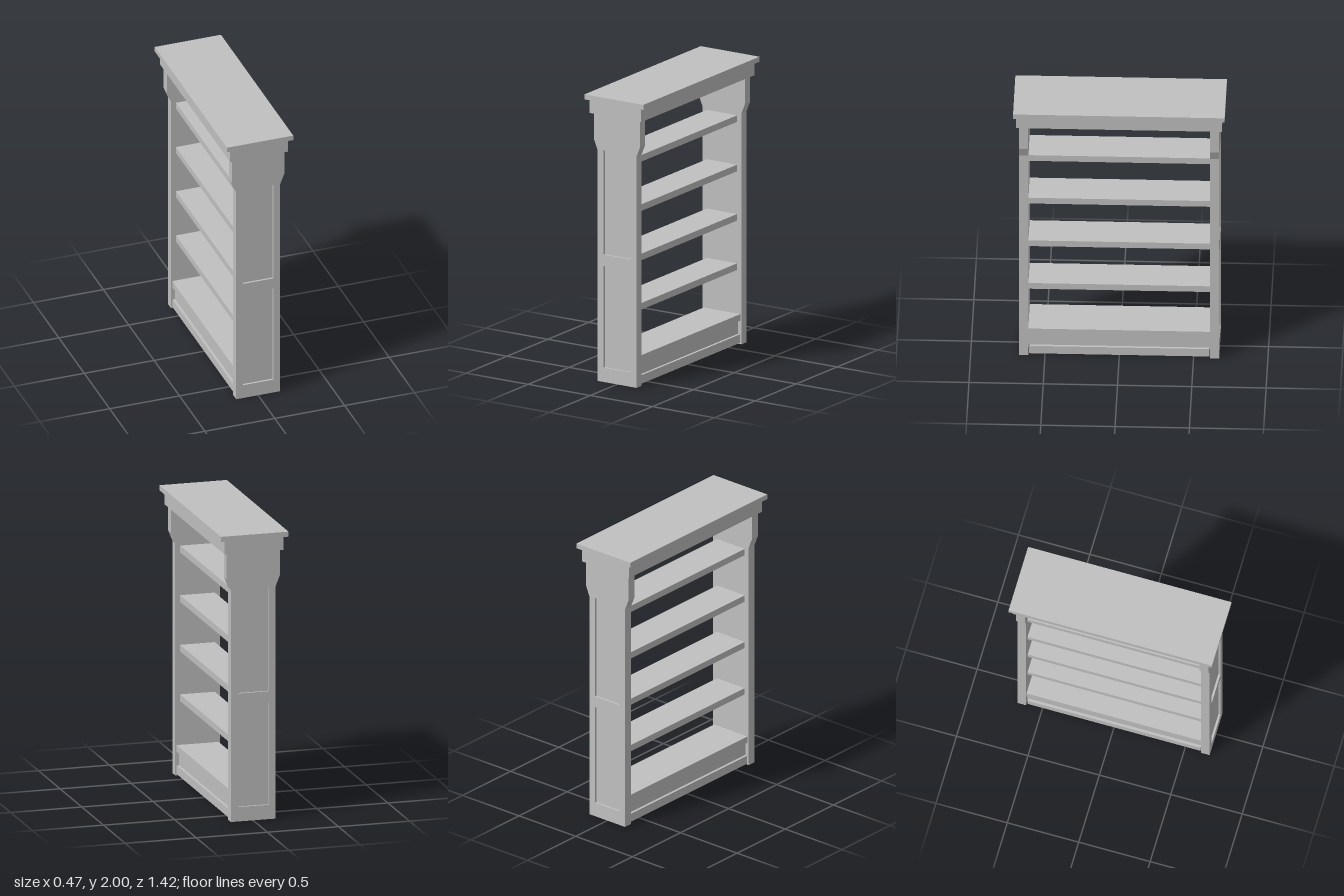
import * as THREE from 'three';

export function createModel() {
  const model = new THREE.Group();
  model.name = 'bookcase';
  const paint = new THREE.MeshStandardMaterial({ color: 0xc0c0c0 });
  paint.name = 'grey paint';

  // Box given by half width, bottom, top and half depth
  function slab(name, halfX, y0, y1, halfZ, x = 0) {
    const mesh = new THREE.Mesh(new THREE.BoxGeometry(halfX * 2, y1 - y0, halfZ * 2), paint);
    mesh.position.set(x, (y0 + y1) / 2, 0);
    mesh.name = name;
    model.add(mesh);
  }

  // Upright outline, flaring out below the cornice
  const outline = () => new THREE.Shape([
    [-0.157, 0], [0.157, 0], [0.157, 1.615], [0.187, 1.69],
    [0.187, 1.87], [-0.187, 1.87], [-0.187, 1.69], [-0.157, 1.615],
  ].map(([x, y]) => new THREE.Vector2(x, y)));

  const framed = outline();
  for (const [y0, y1] of [[0.10, 0.81], [0.89, 1.62]]) {
    framed.holes.push(new THREE.Path([
      [-0.108, y0], [-0.108, y1], [0.108, y1], [0.108, y0],
    ].map(([x, y]) => new THREE.Vector2(x, y))));
  }

  // Each upright is a solid core with a framed face that leaves two sunk panels
  for (const turn of [0, Math.PI]) {
    const upright = new THREE.Group();
    upright.name = turn ? 'backUpright' : 'frontUpright';
    const layer = (name, shape, z, depth) => {
      const mesh = new THREE.Mesh(
        new THREE.ExtrudeGeometry(shape, { depth, bevelEnabled: false }), paint);
      mesh.position.z = z;
      mesh.name = name;
      upright.add(mesh);
    };
    layer('uprightCore', outline(), 0.612, 0.046);
    layer('panelFrame', framed, 0.658, 0.015);
    upright.rotation.y = turn;
    model.add(upright);
  }

  // Shelves
  for (const y of [0.515, 0.86, 1.205, 1.55]) slab('shelf', 0.122, y, y + 0.046, 0.612);

  // Plinth: bottom shelf, recessed board and skirting
  slab('bottomShelf', 0.148, 0.165, 0.21, 0.612);
  slab('plinthBoard', 0.13, 0.07, 0.165, 0.612);
  slab('skirting', 0.148, 0.01, 0.07, 0.606);

  // Cornice with rails hanging below it
  for (const side of [-1, 1]) slab('topRail', 0.011, 1.848, 1.87, 0.612, side * 0.125);
  slab('cornice', 0.207, 1.87, 1.965, 0.692);
  slab('topBoard', 0.237, 1.965, 2, 0.712);

  return model;
}
